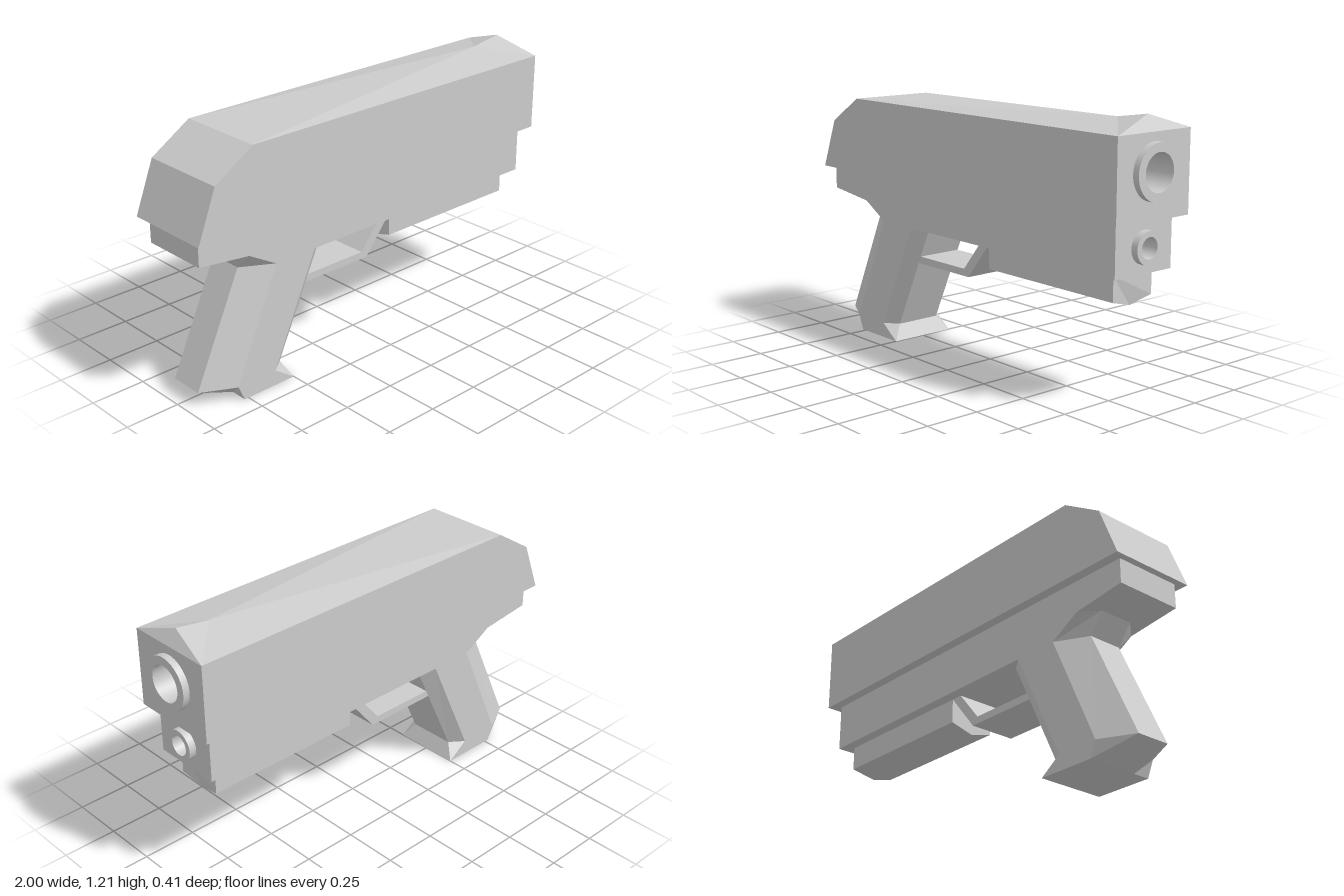
import * as THREE from 'three';
import { toCreasedNormals } from 'three/addons/utils/BufferGeometryUtils.js';

const flat = new THREE.MeshStandardMaterial({ color: 0xcccccc, flatShading: true });
const smooth = new THREE.MeshStandardMaterial({ color: 0xcccccc });

function named(name, geometry, material = flat) {
  const mesh = new THREE.Mesh(geometry, material);
  mesh.name = name;
  return mesh;
}

// Flat polygons (counter-clockwise from outside), each split into a fan
function polygons(list) {
  const pos = [];
  for (const p of list)
    for (let i = 1; i < p.length - 1; i++) pos.push(...p[0], ...p[i], ...p[i + 1]);
  const g = new THREE.BufferGeometry();
  g.setAttribute('position', new THREE.Float32BufferAttribute(pos, 3));
  g.computeVertexNormals();
  return g;
}

// Side profile (counter-clockwise) given thickness across z; listed edges stay open
function prism(profile, h, open = []) {
  const at = (z) => profile.map(([x, y]) => [x, y, z]);
  const near = at(h), far = at(-h);
  const list = [near, [far[0], ...far.slice(1).reverse()]];
  profile.forEach((_, i) => {
    const j = (i + 1) % profile.length;
    if (!open.includes(i)) list.push([near[i], far[i], far[j], near[j]]);
  });
  return list;
}

// Skin over a stack of cross-sections, closed at both ends
function loft(rings) {
  const list = [[...rings[0]].reverse(), rings[rings.length - 1]];
  for (let k = 0; k < rings.length - 1; k++)
    rings[k].forEach((p, i) => {
      const j = (i + 1) % rings[k].length;
      list.push([p, rings[k][j], rings[k + 1][j], rings[k + 1][i]]);
    });
  return polygons(list);
}

// Front plate at x, pierced for a bore
function plate(x, h, y0, y1, cy, r) {
  const s = new THREE.Shape([[-h, y0], [h, y0], [h, y1], [-h, y1]].map((p) => new THREE.Vector2(...p)));
  s.holes.push(new THREE.Path().absarc(0, cy, r, 0, Math.PI * 2, true));
  return new THREE.ShapeGeometry(s, 24).rotateY(Math.PI / 2).translate(x, 0, 0);
}

// Projecting ring with a deep bore, pointing along +x
function muzzle(x, y, R, r, length, depth) {
  const pts = [[R, 0], [R, length], [r, length], [r, -depth], [0, -depth]];
  const g = new THREE.LatheGeometry(pts.map((p) => new THREE.Vector2(...p)), 40);
  return toCreasedNormals(g.rotateZ(-Math.PI / 2).translate(x, y, 0), 0.6);
}

export function createModel() {
  const model = new THREE.Group();

  // Slide with a faceted roof rising to a front sight
  const h = 0.205;
  const backL = [-0.72, 1.14, h], backR = [-0.72, 1.14, -h];
  const frontL = [0.97, 1.14, h], frontR = [0.97, 1.14, -h];
  const ridge = [0.77, 1.18, 0], sight = [0.93, 1.205, 0];
  const slideProfile = [[0.97, 1.14], [-0.72, 1.14], [-0.91, 1.02], [-1, 0.79], [0.97, 0.79]];
  const slide = new THREE.Group();
  slide.name = 'slide';
  slide.add(
    named('slideBody', polygons(prism(slideProfile, h, [0, 4]))),
    named('slideRoof', polygons([
      [backL, ridge, backR], [backL, frontL, ridge], [ridge, frontL, sight],
      [backR, ridge, frontR], [ridge, sight, frontR], [frontL, frontR, sight],
    ])),
    named('slideFront', plate(0.97, h, 0.79, 1.14, 0.985, 0.1)),
    named('barrel', muzzle(0.97, 0.985, 0.118, 0.08, 0.03, 0.3), smooth),
  );

  // Frame below the slide, with a smaller tube at its front
  const w = 0.16;
  const frameProfile = [[0.925, 0.79], [-0.97, 0.79], [-0.97, 0.68], [-0.72, 0.65], [-0.58, 0.57], [0.925, 0.57]];
  const frame = new THREE.Group();
  frame.name = 'frame';
  frame.add(
    named('frameBody', polygons(prism(frameProfile, w, [5]))),
    named('frameFront', plate(0.925, w, 0.57, 0.79, 0.68, 0.057)),
    named('guideTube', muzzle(0.925, 0.68, 0.07, 0.045, 0.032, 0.2), smooth),
  );

  // Raked grip: bevelled front and back, flared toe; half sections mirrored in z
  const n = 0.11, b = 0.08;
  const sections = [
    [[-0.77, 0, b], [-0.77, 0, w], [-0.5, 0, w], [-0.5, 0, w]],
    [[-0.95, 0.07, b], [-0.8, 0.07, w], [-0.6, 0.07, w], [-0.535, 0.07, n]],
    [[-0.72, 0.57, b], [-0.58, 0.57, w], [-0.37, 0.57, w], [-0.3, 0.57, n]],
    [[-0.79, 0.66, b], [-0.72, 0.65, w], [-0.37, 0.57, w], [-0.3, 0.57, n]],
  ].map((half) => [...half, ...half.map(([x, y, z]) => [x, y, -z]).reverse()]);
  const grip = named('grip', loft(sections));

  // Trigger guard: level bar and sloping front strap
  const guard = named('triggerGuard', polygons([
    ...prism([[-0.4, 0.397], [-0.02, 0.397], [-0.05, 0.43], [-0.4, 0.43]], n),
    ...prism([[-0.02, 0.397], [0.12, 0.57], [0.065, 0.57], [-0.05, 0.43]], n),
  ]));

  // Under-rail with a keeled bottom
  const railSection = (x, keelX) =>
    [[x, 0.57, n], [x, 0.46, n], [keelX, 0.43, 0], [x, 0.46, -n], [x, 0.57, -n]];
  const rail = named('underRail', loft([railSection(0.12, 0.12), railSection(0.87, 0.855)]));

  model.add(slide, frame, grip, guard, rail);
  return model;
}
